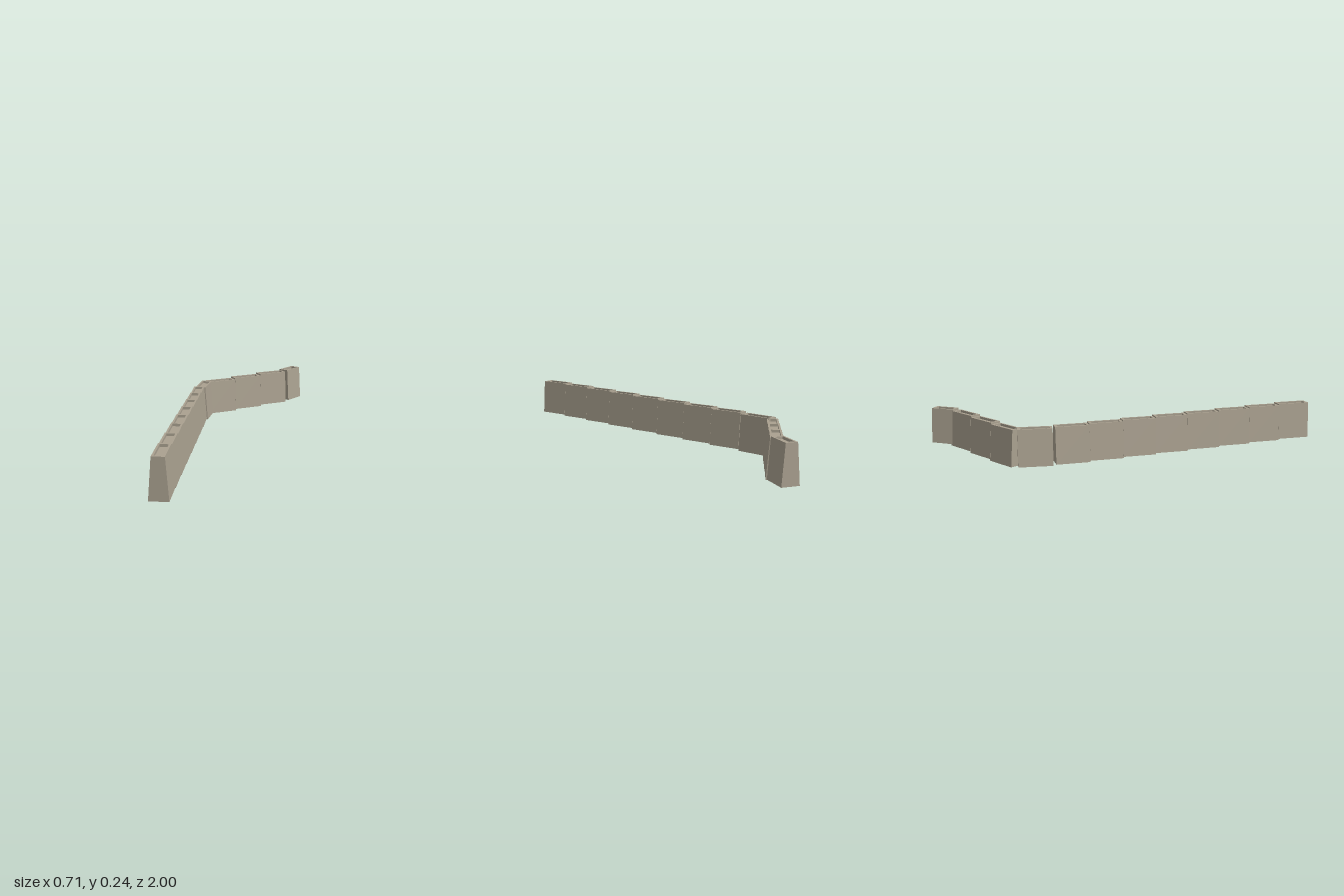
import * as THREE from 'three';

const HEIGHT = 0.186;
const stone = new THREE.MeshStandardMaterial({ color: 0xaaa190 });
stone.name = 'weathered stone';

// Tapered block with a shallow sunken top, lofted through rectangular rings
function blockGeometry(length) {
  const half = length / 2;
  const rings = [
    [0.0425, half, 0],
    [0.028, half, HEIGHT],
    [0.019, half - 0.014, HEIGHT],
    [0.019, half - 0.014, HEIGHT - 0.012],
  ].map(([x, z, y]) => [[x, y, z], [x, y, -z], [-x, y, -z], [-x, y, z]]);
  const positions = [];
  const quad = (a, b, c, d) => positions.push(...a, ...b, ...c, ...a, ...c, ...d);
  for (let r = 0; r < rings.length - 1; r++) {
    for (let i = 0; i < 4; i++) {
      const j = (i + 1) % 4;
      quad(rings[r][i], rings[r][j], rings[r + 1][j], rings[r + 1][i]);
    }
  }
  quad(...rings[3]);
  quad(...[...rings[0]].reverse());
  const geometry = new THREE.BufferGeometry();
  geometry.setAttribute('position', new THREE.Float32BufferAttribute(positions, 3));
  geometry.computeVertexNormals();
  return geometry;
}

// Row of equal blocks between two ground points [x, z], stepping in height
function wallRun(name, start, end, count, baseY, stepY) {
  const run = new THREE.Group();
  run.name = name;
  const dx = end[0] - start[0];
  const dz = end[1] - start[1];
  const geometry = blockGeometry(Math.hypot(dx, dz) / count);
  for (let i = 0; i < count; i++) {
    const t = (i + 0.5) / count;
    const block = new THREE.Mesh(geometry, stone);
    block.name = 'wallBlock';
    block.position.set(start[0] + dx * t, baseY + stepY * i, start[1] + dz * t);
    block.rotation.y = Math.atan2(dx, dz);
    run.add(block);
  }
  return run;
}

export function createModel() {
  const model = new THREE.Group();
  model.name = 'steppedWall';
  model.add(
    wallRun('longRun', [0.3165, 0.982], [-0.2635, -0.268], 8, 0.055, -0.0065),
    wallRun('cornerBlock', [-0.262, -0.278], [-0.317, -0.441], 1, 0.003, 0),
    wallRun('shortRun', [-0.316, -0.441], [-0.022, -0.861], 3, 0, 0.0085),
    wallRun('endBlock', [-0.02, -0.865], [0.0025, -0.9925], 1, 0.0245, 0),
  );
  return model;
}
